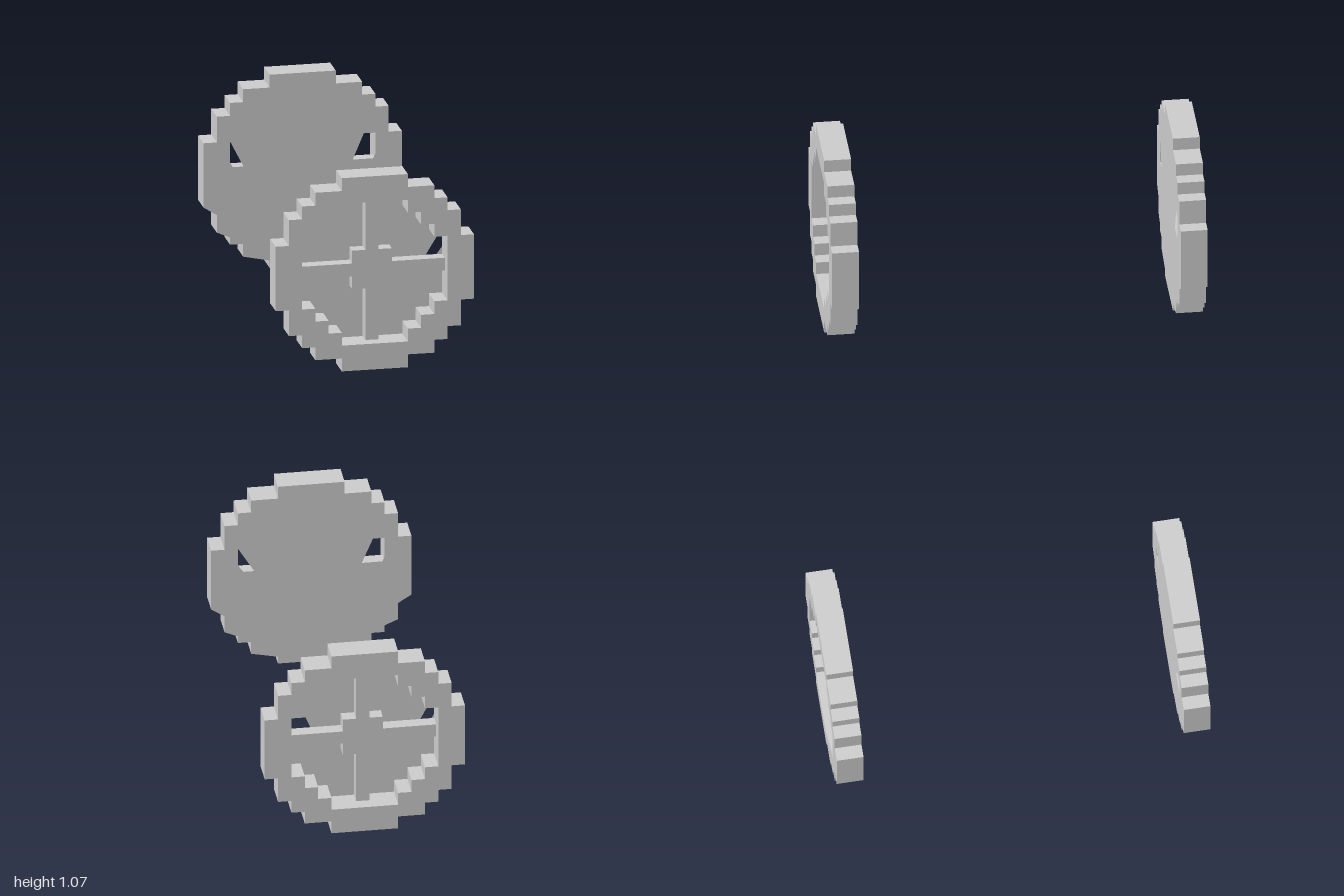
import * as THREE from 'three';

const U = 1 / 14;            // block size
const R = 7.5 * U;           // wheel radius
const DEPTH = 2 * U;         // rim thickness
const mat = new THREE.MeshStandardMaterial({ color: 0xcccccc, flatShading: true, side: THREE.DoubleSide });

// Quarter staircases in block units, from the top centre round to the side
const OUTER = [[2.5, 7.5], [2.5, 6.5], [4.5, 6.5], [4.5, 5.5], [5.5, 5.5], [5.5, 4.5], [6.5, 4.5], [6.5, 2.5], [7.5, 2.5]];
const INNER = [[2.5, 5.5], [2.5, 4.5], [3.5, 4.5], [3.5, 3.5], [4.5, 3.5], [4.5, 2.5], [5.5, 2.5]];
// Lower quarter of the backing plate, with sloped slivers bridging some steps
const PLATE_LOW = [[2.5, 7.5], [2.5, 6.92], [4.5, 6.5], [4.5, 5.5], [5.5, 5.5], [5.5, 4.94], [6.5, 4.5], [6.5, 3.13], [7.5, 2.5]];

// Closed outline from an upper and a lower quarter, mirrored left to right
function outline(upper, lower = upper) {
  const right = [...upper, ...lower.map(([x, y]) => [x, -y]).reverse()];
  const left = right.map(([x, y]) => [-x, y]).reverse();
  return [...right, ...left].map(([x, y]) => new THREE.Vector2(x * U, y * U));
}

function add(group, name, geometry, z) {
  const mesh = new THREE.Mesh(geometry, mat);
  mesh.name = name;
  mesh.position.z = z;
  group.add(mesh);
}

function makeWheel(name, smallHole) {
  const wheel = new THREE.Group();
  wheel.name = name;

  // Stepped rim
  const rim = new THREE.Shape(outline(OUTER));
  rim.holes.push(new THREE.Path(outline(INNER)));
  add(wheel, 'rim', new THREE.ExtrudeGeometry(rim, { depth: DEPTH, bevelEnabled: false }), 0);

  // Cross of spokes with a square hub, recessed to half the rim depth
  const cross = [[0.5, 5.5], [0.5, 1.5], [1.5, 1.5], [1.5, 0.5], [5.5, 0.5]];
  add(wheel, 'spokes', new THREE.ExtrudeGeometry(new THREE.Shape(outline(cross)), { depth: U, bevelEnabled: false }), 0);

  // Thin backing plate with two uneven openings above the side spokes
  const plate = new THREE.Shape(outline(OUTER, PLATE_LOW));
  const largeHole = [[-0.392, 0.178], [-0.33, 0.178], [-0.27, 0.036], [-0.38, 0.036], [-0.392, 0.062]];
  for (const hole of [largeHole, smallHole]) {
    plate.holes.push(new THREE.Path(hole.map(([x, y]) => new THREE.Vector2(x, y))));
  }
  add(wheel, 'backingPlate', new THREE.ShapeGeometry(plate), -0.0005);

  wheel.position.y = R;
  return wheel;
}

export function createModel() {
  const model = new THREE.Group();
  model.name = 'wheelPair';

  const front = makeWheel('frontWheel', [[0.392, 0.178], [0.305, 0.036], [0.363, 0.036], [0.392, 0.076]]);
  front.position.z = 1 - DEPTH;

  const back = makeWheel('backWheel', [[0.392, 0.178], [0.32, 0.036], [0.378, 0.036], [0.392, 0.06]]);
  back.position.z = -(1 - DEPTH);
  back.rotation.y = Math.PI;

  model.add(front, back);
  return model;
}
